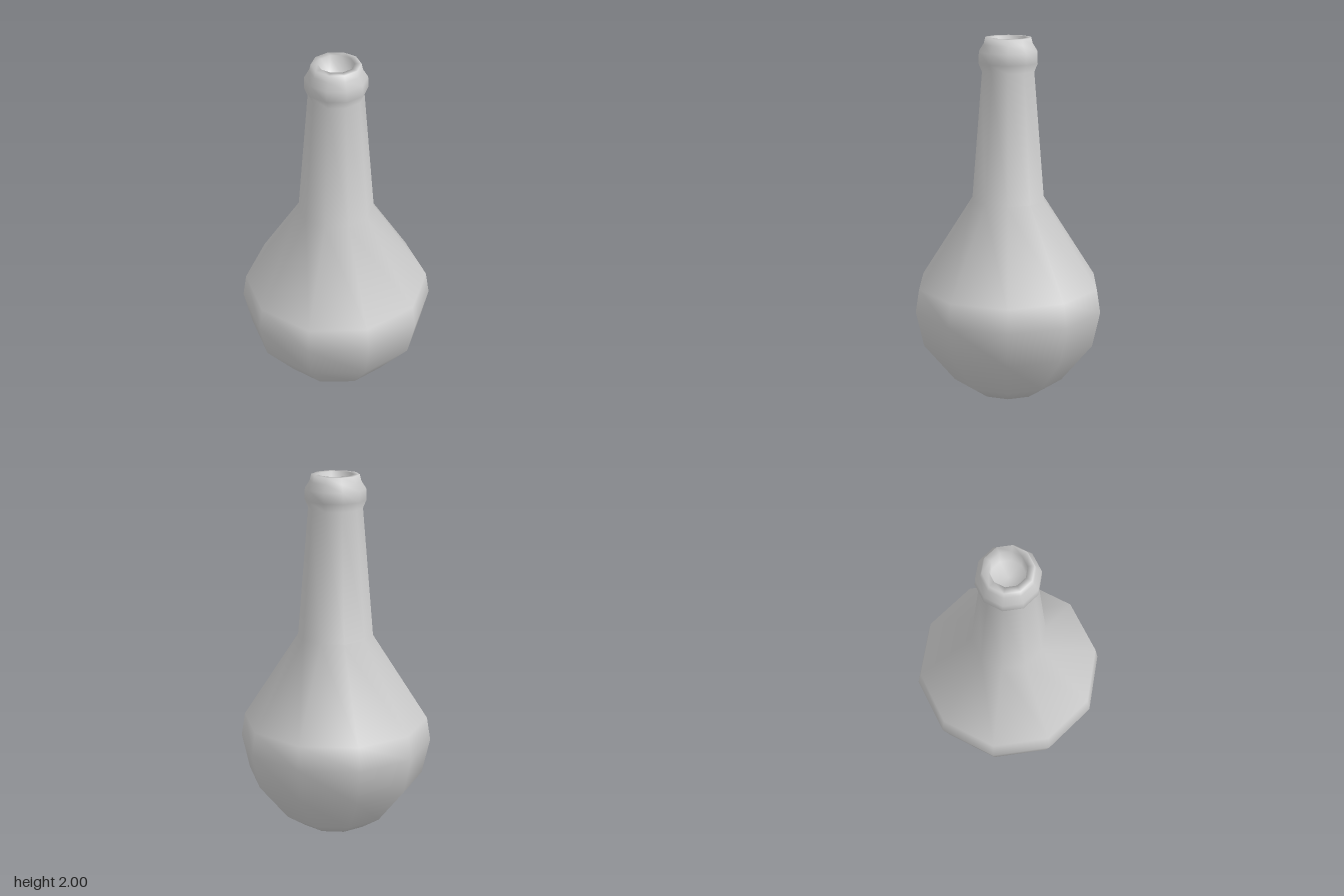
import * as THREE from 'three';

const SIDES = 10;

// Ten-sided turned shape with a corner on the x axis
function turned(name, profile, material) {
  const points = profile.map(([r, y]) => new THREE.Vector2(r, y));
  const mesh = new THREE.Mesh(new THREE.LatheGeometry(points, SIDES, Math.PI / 2), material);
  mesh.name = name;
  return mesh;
}

export function createModel() {
  const group = new THREE.Group();
  group.name = 'bottle';
  const glass = new THREE.MeshStandardMaterial({ color: 0xcccccc });
  glass.name = 'pale grey';

  // Base, round belly, tapering neck, collar, lip and mouth in one smooth skin
  group.add(turned('bottleBody', [
    [0, 0], [0.2, 0],
    [0.317, 0.08], [0.493, 0.3], [0.537, 0.5], [0.516, 0.63],
    [0.208, 1.11], [0.148, 1.82],
    [0.167, 1.865], [0.165, 1.925], [0.139, 1.965], [0.13, 2],
    [0.095, 2], [0.092, 1.9], [0, 1.9],
  ], glass));

  return group;
}
